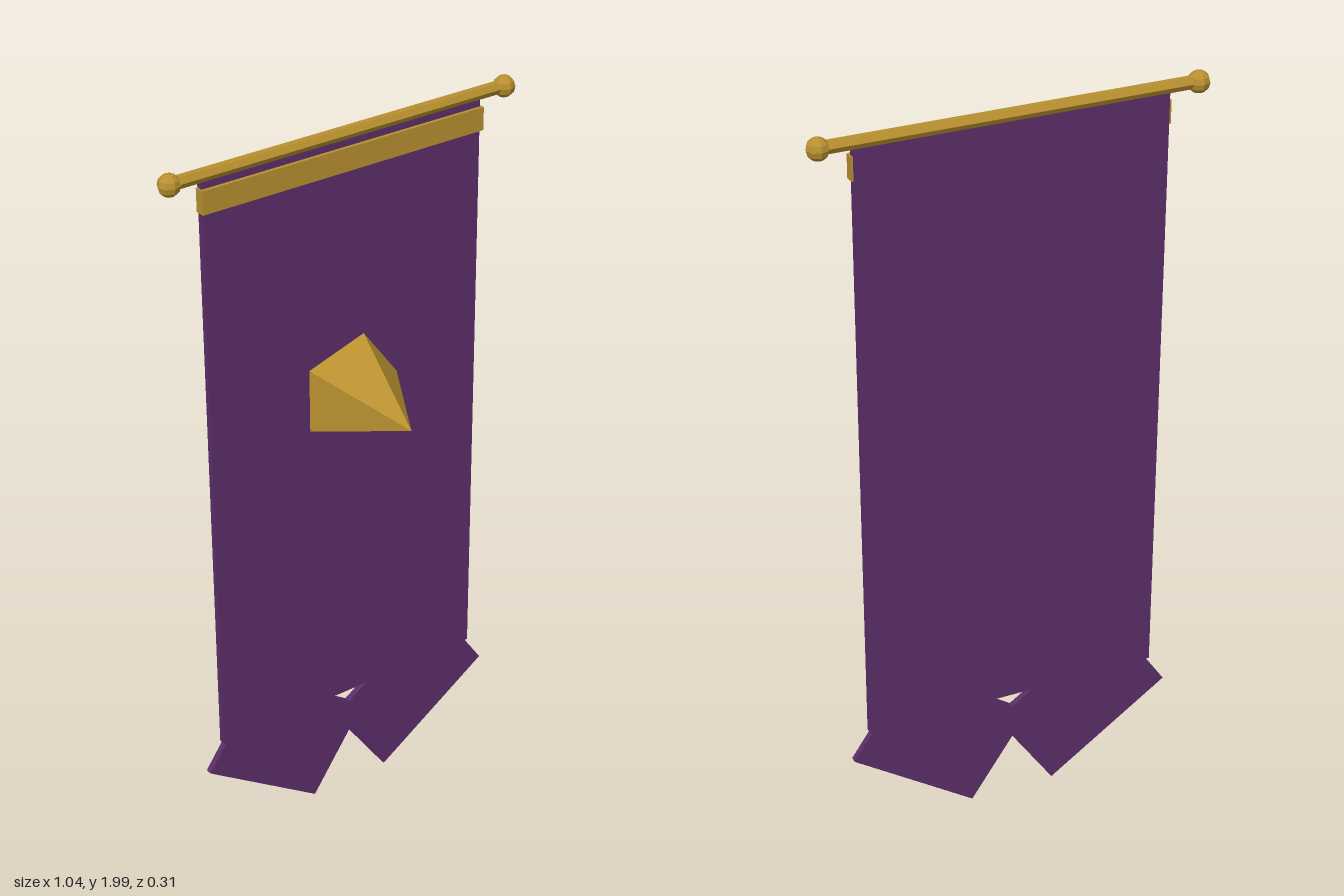
import * as THREE from 'three';

export function createModel() {
  const model = new THREE.Group();
  model.name = 'hangingBanner';

  const purple = new THREE.MeshStandardMaterial({ color: 0x5b2e68 });
  purple.name = 'purpleCloth';
  const gold = new THREE.MeshStandardMaterial({ color: 0xb8902f });
  gold.name = 'gold';
  gold.flatShading = true;

  const Z = -0.128; // plane of the cloth and rod

  function add(name, geometry, material, x, y, z) {
    const mesh = new THREE.Mesh(geometry, material);
    mesh.name = name;
    mesh.position.set(x, y, z);
    model.add(mesh);
    return mesh;
  }

  // Cloth panel
  add('cloth', new THREE.BoxGeometry(0.82, 1.655, 0.018), purple, 0, 1.1425, Z);

  // Hexagonal rod with a ball at each end
  const rod = new THREE.CylinderGeometry(0.017, 0.017, 0.984, 6).rotateZ(Math.PI / 2);
  add('rod', rod, gold, 0, 1.972, Z);

  // Mirrored pairs: rod finials and slanted cloth tails
  for (const [side, s] of [['left', 1], ['right', -1]]) {
    add(side + 'Finial', new THREE.SphereGeometry(0.029, 8, 6), gold, s * 0.492, 1.971, Z);
    const tail = add(side + 'Tail', new THREE.BoxGeometry(0.408, 0.29, 0.018), purple, s * 0.2055, 0.24, Z);
    tail.rotation.z = s * 0.6;
  }

  // Trim band across the front near the top
  add('trimBand', new THREE.BoxGeometry(0.83, 0.062, 0.0265), gold, 0, 1.909, -0.1228);

  // Five-sided spike emblem pointing forward
  const spike = new THREE.ConeGeometry(0.15, 0.266, 5).rotateY(Math.PI / 2).rotateX(Math.PI / 2);
  add('emblem', spike, gold, 0, 1.277, 0.023);

  return model;
}
